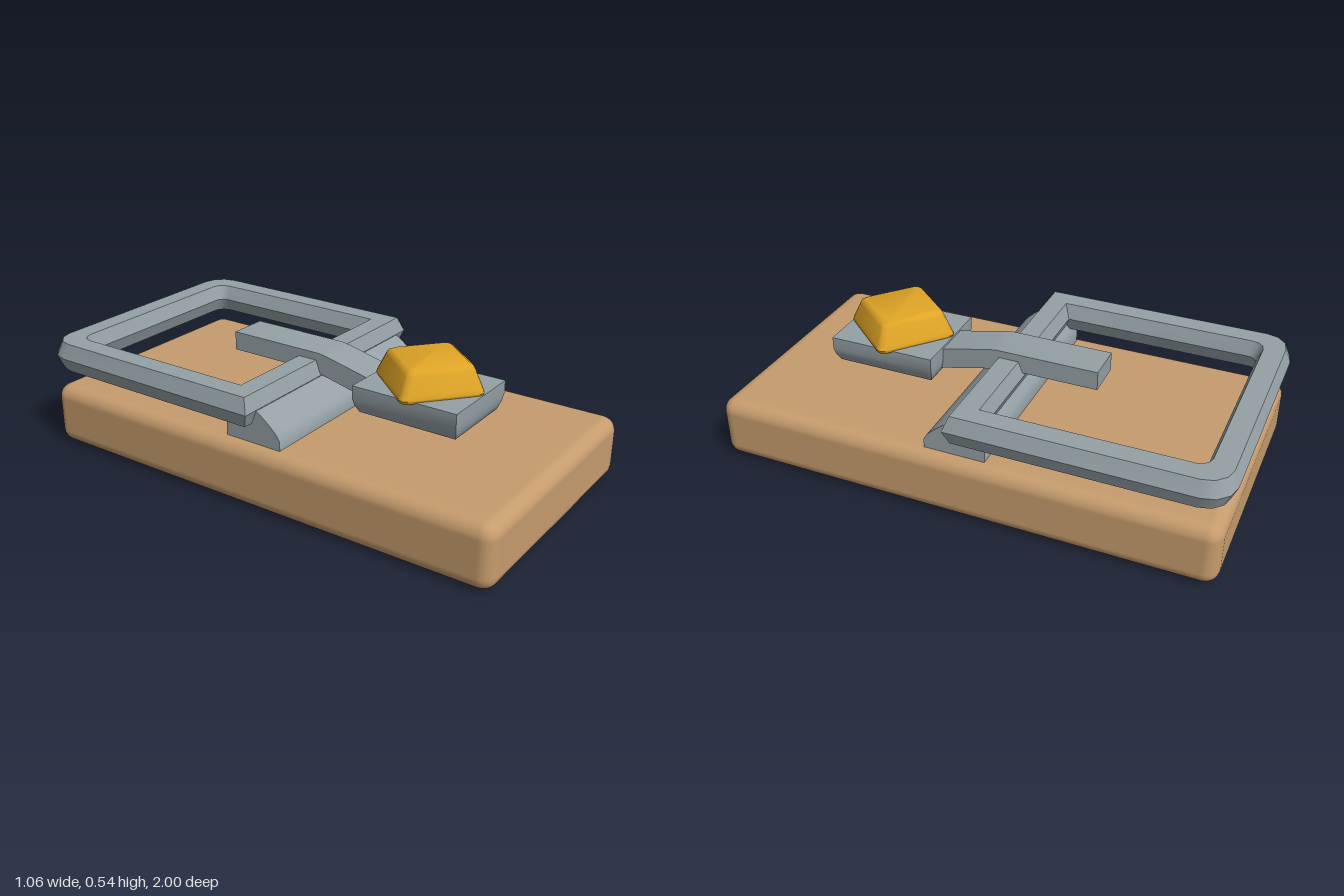
import * as THREE from 'three';
import { toCreasedNormals } from 'three/addons/utils/BufferGeometryUtils.js';
import { RoundedBoxGeometry } from 'three/addons/geometries/RoundedBoxGeometry.js';

const mat = (color) => new THREE.MeshStandardMaterial({ color });

// Skins rings of [x, y, z] (each running from +x towards +z), listed bottom to top.
// closed joins the last ring to the first; otherwise both ends are capped.
function loft(rings, crease, closed = false) {
  const n = rings[0].length, m = rings.length, index = [];
  for (let j = 0; j < (closed ? m : m - 1); j++) {
    for (let i = 0; i < n; i++) {
      const k = (i + 1) % n, u = ((j + 1) % m) * n;
      const a = j * n + i, b = j * n + k;
      index.push(a, u + i, b, b, u + i, u + k);
    }
  }
  if (!closed) {
    const t = (m - 1) * n;
    for (let i = 1; i < n - 1; i++) index.push(0, i, i + 1, t, t + i + 1, t + i);
  }
  const g = new THREE.BufferGeometry();
  g.setAttribute('position', new THREE.Float32BufferAttribute(rings.flat(2), 3));
  g.setIndex(index);
  return toCreasedNormals(g, crease);
}

// Extrudes a side profile of [z, y] points across the width, centred on x = 0
function sideExtrude(profile, width, crease) {
  const shape = new THREE.Shape(profile.map(([z, y]) => new THREE.Vector2(-z, y)));
  const g = new THREE.ExtrudeGeometry(shape, { depth: width, bevelEnabled: false });
  g.translate(0, 0, -width / 2).rotateY(Math.PI / 2);
  return toCreasedNormals(g, crease);
}

// Frame outline pushed outward by d: square front corners, rounded back corners
function frameRing(d, y) {
  const x = 0.468 + d, front = -0.035 + d, back = -0.94 - d, r = 0.07 + d * 0.55;
  const pts = [[x, y, front], [-x, y, front]];
  for (const s of [-1, 1]) {
    for (let i = 0; i <= 3; i++) {
      const a = (s < 0 ? Math.PI : Math.PI * 1.5) + (i / 3) * (Math.PI / 2);
      pts.push([s * (x - r) + r * Math.cos(a), y, back + r + r * Math.sin(a)]);
    }
  }
  return pts;
}

// Diamond with softened corners
function diamondRing(radius, y) {
  const pts = [];
  for (let c = 0; c < 4; c++) {
    for (const [da, k] of [[-0.09, 0.965], [0, 1], [0.09, 0.965]]) {
      const a = c * Math.PI / 2 + da;
      pts.push([radius * k * Math.cos(a), y, radius * k * Math.sin(a)]);
    }
  }
  return pts;
}

export function createModel() {
  const group = new THREE.Group();
  const wood = mat(0xc69c6d), metal = mat(0x95a1a6), yellow = mat(0xe0a526);
  const add = (name, geometry, material) => {
    const mesh = new THREE.Mesh(geometry, material);
    mesh.name = name;
    group.add(mesh);
    return mesh;
  };

  // Wooden board
  add('base', new RoundedBoxGeometry(1.04, 0.25, 1.985, 3, 0.055), wood)
    .position.set(0, 0.125, 0.007);

  // Hinge bar under the front rail
  add('hingeBar', sideExtrude([
    [0.13, 0.24], [0.13, 0.285], [0.115, 0.31], [0.085, 0.337], [0.05, 0.365], [0.01, 0.387],
    [-0.03, 0.387], [-0.07, 0.36], [-0.098, 0.322], [-0.112, 0.3], [-0.112, 0.24],
  ], 0.94, 0.6), metal);

  // Snapping frame with a six-sided section
  const section = [[0.04, 0.325], [0.062, 0.382], [0.04, 0.44],
    [-0.04, 0.44], [-0.062, 0.382], [-0.04, 0.325]];
  add('snapFrame', loft(section.map(([d, y]) => frameRing(d, y)), 0.55, true), metal);

  // Bent trigger arm
  add('triggerArm', sideExtrude([
    [-0.39, 0.47], [-0.39, 0.395], [-0.01, 0.395], [0.43, 0.294],
    [0.44, 0.37], [0.25, 0.42], [0.06, 0.463], [0.02, 0.47],
  ], 0.155, 0.4), metal);

  // Bait pan with a rounded underside
  const pan = [[0.115, 0.175, 0.303], [0.155, 0.2, 0.32], [0.172, 0.211, 0.35],
    [0.183, 0.215, 0.38], [0.183, 0.215, 0.43]];
  add('baitPan', loft(pan.map(([x, z, y]) =>
    [[x, y, z], [-x, y, z], [-x, y, -z], [x, y, -z]]), 0.65), metal)
    .position.z = 0.457;

  // Bait block, turned on its corner
  const bait = [[0.19, 0.417], [0.21, 0.425], [0.216, 0.438], [0.208, 0.455],
    [0.178, 0.515], [0.169, 0.529], [0.152, 0.537]];
  const block = add('bait', loft(bait.map(([r, y]) => diamondRing(r, y)), 0.8), yellow);
  block.position.z = 0.457;
  block.rotation.y = 0.08;

  return group;
}
